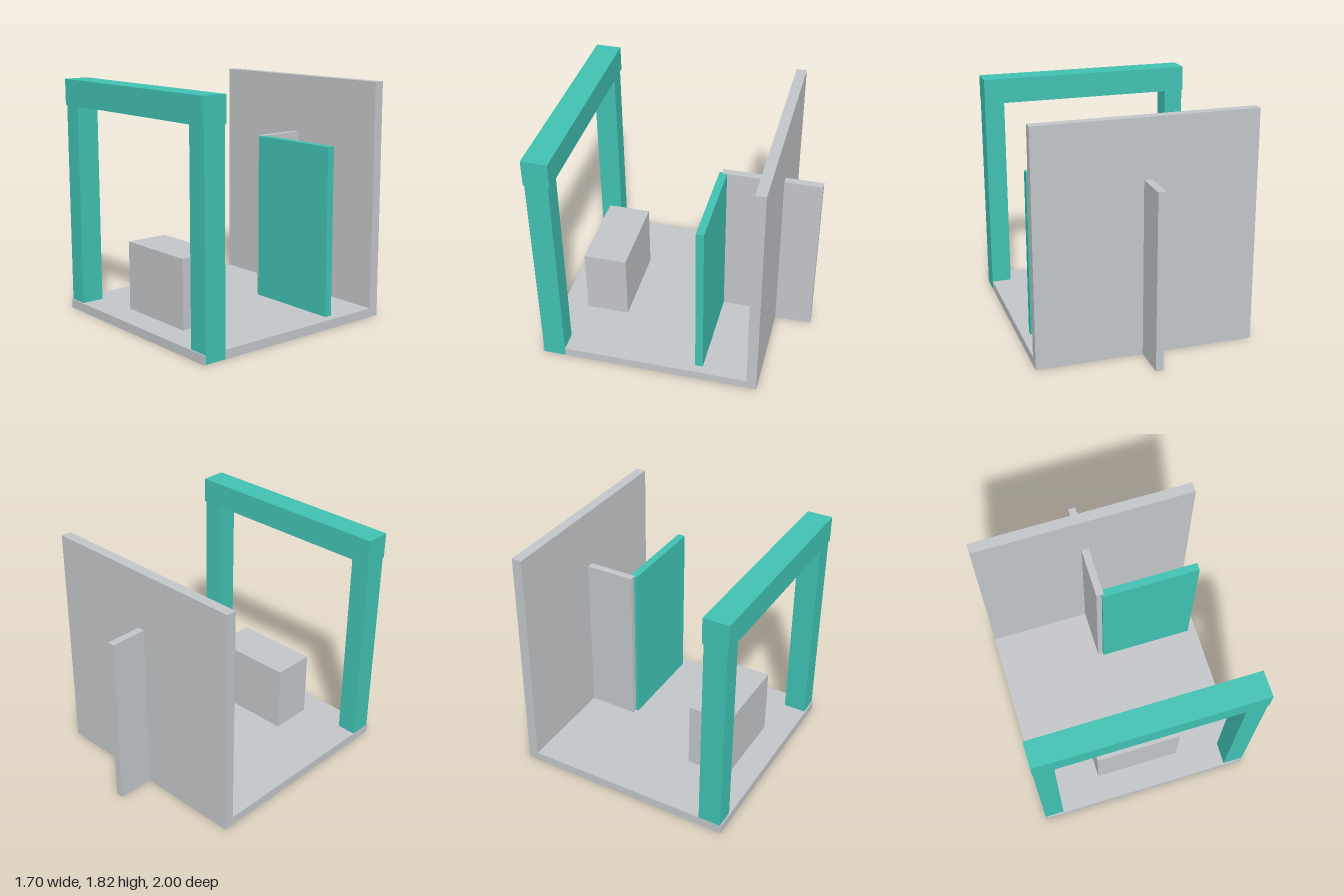
import * as THREE from 'three';

export function createModel() {
  const group = new THREE.Group();
  const grey = new THREE.MeshStandardMaterial({ color: 0xc3c6c9 });
  grey.name = 'light grey';
  const teal = new THREE.MeshStandardMaterial({ color: 0x41c2b3 });
  teal.name = 'teal';

  // Box given by its extents along each axis
  function box(name, material, [x0, x1], [y0, y1], [z0, z1]) {
    const mesh = new THREE.Mesh(new THREE.BoxGeometry(x1 - x0, y1 - y0, z1 - z0), material);
    mesh.position.set((x0 + x1) / 2, (y0 + y1) / 2, (z0 + z1) / 2);
    mesh.name = name;
    group.add(mesh);
  }

  // Floor, back wall and the fin that passes through the wall
  box('floor', grey, [-0.85, 0.85], [0, 0.07], [-0.64, 1]);
  box('backWall', grey, [-0.85, 0.85], [0, 1.822], [-0.712, -0.633]);
  box('fin', grey, [-0.03, 0.028], [0, 1.366], [-1, -0.24]);

  // Side panel and free-standing block
  box('panel', teal, [0.012, 0.78], [0.002, 1.365], [-0.278, -0.218]);
  box('block', grey, [-0.34, 0.34], [0.06, 0.605], [0.453, 0.79]);

  // Front gateway: two posts under a beam
  box('leftPost', teal, [0.693, 0.851], [0.002, 1.63], [0.815, 0.99]);
  box('rightPost', teal, [-0.849, -0.697], [0.002, 1.63], [0.815, 0.99]);
  box('beam', teal, [-0.852, 0.852], [1.625, 1.824], [0.803, 1]);

  return group;
}
